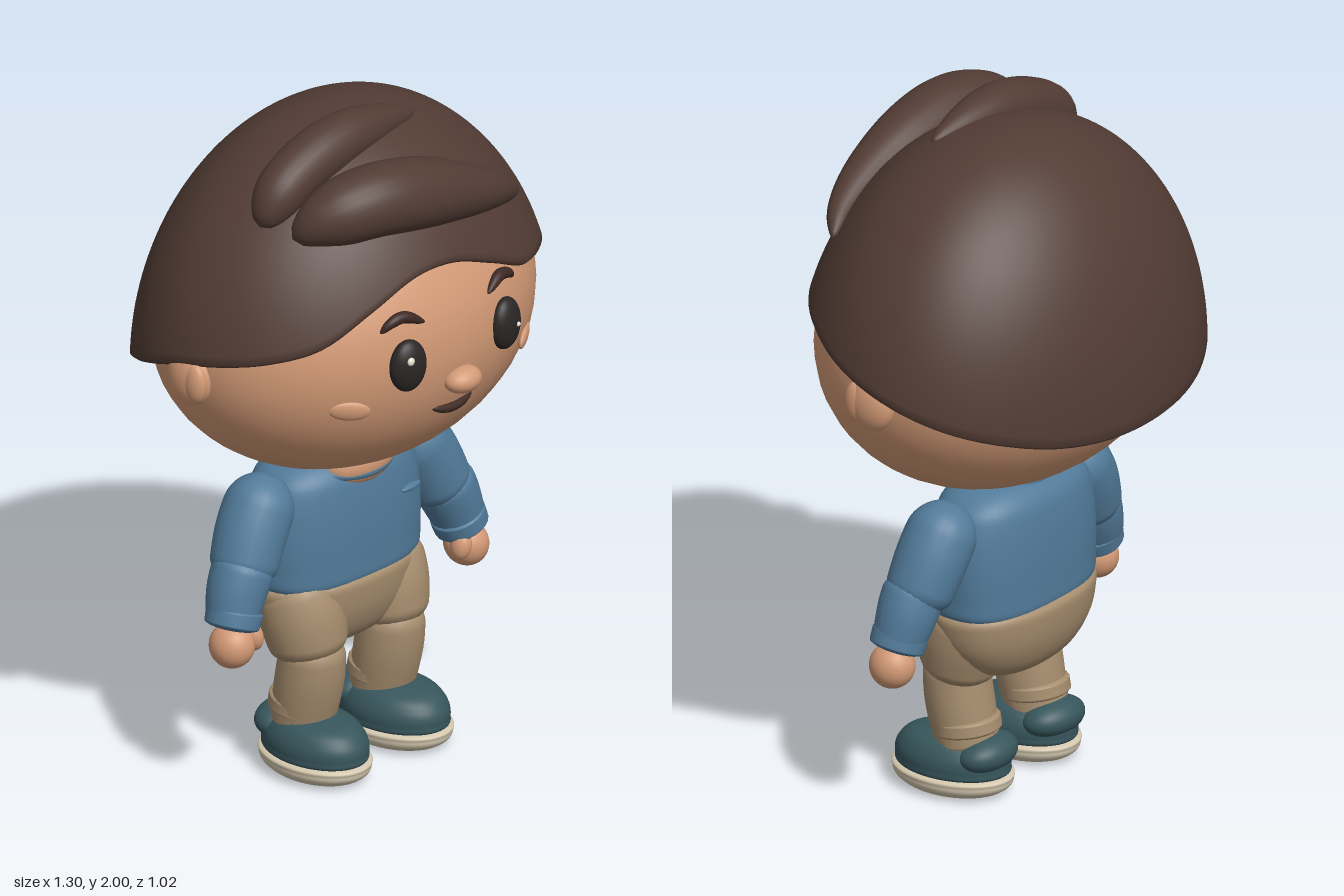
import * as THREE from 'three';
import { mergeVertices } from 'three/addons/utils/BufferGeometryUtils.js';

const V = (a) => new THREE.Vector3(...a);
const paint = (name, color) => {
  const m = new THREE.MeshStandardMaterial({ color });
  m.name = name;
  return m;
};

export function createModel() {
  const skin = paint('skin', 0xd39a76), brown = paint('hair brown', 0x523c34);
  const blue = paint('sweater blue', 0x527b9a), tan = paint('trouser tan', 0xa68d6e);
  const teal = paint('shoe teal', 0x37565c), cream = paint('sole cream', 0xd3c7ae);
  const black = paint('eye black', 0x2b2626), dark = paint('brow brown', 0x3c2823);
  const white = paint('eye glint', 0xf2ecdc);

  const model = new THREE.Group();
  model.name = 'boy';
  const body = new THREE.Group();
  body.name = 'body';
  body.position.x = -0.008;
  model.add(body);

  const add = (name, geo, mat, parent = body) => {
    const mesh = new THREE.Mesh(geo, mat);
    mesh.name = name;
    parent.add(mesh);
    return mesh;
  };
  // Smooth normals across seams
  const smooth = (geo) => {
    geo.deleteAttribute('uv');
    geo.deleteAttribute('normal');
    const g = mergeVertices(geo, 1e-5);
    g.computeVertexNormals();
    return g;
  };
  const blob = (name, mat, pos, radii, rot = [0, 0, 0], parent = body) => {
    const mesh = add(name, new THREE.SphereGeometry(1, 40, 28), mat, parent);
    mesh.position.set(...pos);
    mesh.scale.set(...radii);
    mesh.rotation.set(...rot);
    return mesh;
  };
  const spline = (vals, closed = false) =>
    new THREE.CatmullRomCurve3(vals.map((v) => V([v, 0, 0])), closed, 'catmullrom');
  // Round-ended tube whose radius follows a list along the path
  const sweep = (name, mat, path, radii, cap0 = 0.3, cap1 = cap0, parent = body) => {
    const rings = 56, sides = 24;
    const curve = new THREE.CatmullRomCurve3(path.map(V));
    const rad = spline(radii);
    const geo = new THREE.TubeGeometry(curve, rings, 1, sides);
    const pos = geo.attributes.position, p = new THREE.Vector3();
    const round = (u, c) => (u < c ? Math.sqrt(Math.max(0, 1 - (1 - u / c) ** 2)) : 1);
    for (let i = 0; i <= rings; i++) {
      const u = i / rings, c = curve.getPointAt(u);
      const r = rad.getPoint(u).x * round(u, cap0) * round(1 - u, cap1);
      for (let j = 0; j <= sides; j++) {
        const k = i * (sides + 1) + j;
        p.fromBufferAttribute(pos, k).sub(c).multiplyScalar(r).add(c);
        pos.setXYZ(k, p.x, p.y, p.z);
      }
    }
    return add(name, smooth(geo), mat, parent);
  };
  // Lathe with a squarish oval section of the given depth ratio
  const ovalLathe = (name, mat, profile, depth, power = 1, parent = body) => {
    const curve = new THREE.SplineCurve(profile.map((q) => new THREE.Vector2(...q)));
    const pts = curve.getPoints(40).map((q) => q.set(Math.max(0, q.x), q.y));
    const geo = new THREE.LatheGeometry(pts, 48);
    const pos = geo.attributes.position;
    const square = (v, r) => (r < 1e-6 ? 0 : Math.sign(v) * r * Math.abs(v / r) ** power);
    for (let i = 0; i < pos.count; i++) {
      const x = pos.getX(i), z = pos.getZ(i), r = Math.hypot(x, z);
      pos.setX(i, square(x, r));
      pos.setZ(i, square(z, r) * depth);
    }
    return add(name, smooth(geo), mat, parent);
  };

  // Head and face
  blob('head', skin, [0, 1.36, 0], [0.605, 0.45, 0.46]);
  blob('nose', skin, [0, 1.27, 0.46], [0.06, 0.038, 0.047]);
  sweep('mouth', dark, [[-0.082, 1.194, 0.416], [-0.04, 1.18, 0.422], [0, 1.176, 0.424], [0.04, 1.18, 0.422], [0.082, 1.194, 0.416]],
    [0.006, 0.012, 0.014, 0.012, 0.006], 0.15);
  for (const s of [-1, 1]) {
    const side = s > 0 ? 'left' : 'right';
    blob(side + 'Eye', black, [s * 0.193, 1.368, 0.437], [0.058, 0.077, 0.036], [0, s * 0.2, 0]);
    sweep(side + 'Brow', dark, [[s * 0.262, 1.475, 0.398], [s * 0.23, 1.5, 0.41], [s * 0.19, 1.507, 0.417], [s * 0.125, 1.478, 0.437]],
      [0.008, 0.016, 0.016, 0.006], 0.15);
    blob(side + 'Cheek', skin, [s * 0.346, 1.255, 0.361], [0.06, 0.03, 0.013], [0.2, s * 0.62, 0]);
    blob(side + 'Ear', skin, [s * 0.6, 1.325, -0.005], [0.045, 0.083, 0.075]);
    blob(side + 'InnerEar', skin, [s * 0.618, 1.325, 0.032], [0.026, 0.06, 0.038]);
  }
  blob('rightEyeGlint', white, [-0.212, 1.395, 0.468], [0.012, 0.012, 0.008]);
  blob('leftEyeGlint', white, [0.212, 1.368, 0.469], [0.007, 0.007, 0.006]);

  // Hair cap: thick shell whose rim height varies around the head, from the back through the right side
  const rim = spline([1.19, 1.195, 1.215, 1.25, 1.29, 1.335, 1.375, 1.4, 1.425, 1.465, 1.55, 1.615,
    1.62, 1.57, 1.505, 1.485, 1.465, 1.425, 1.38, 1.335, 1.29, 1.25, 1.215, 1.195], true);
  const cols = 120, outer = 40, rows = outer * 2 + 2;
  const verts = [], index = [];
  for (let i = 0; i <= rows; i++) {
    for (let j = 0; j < cols; j++) {
      const a = (j / cols) * Math.PI * 2 - Math.PI;
      const low = Math.asin((rim.getPoint(j / cols).x - 1.24) / 0.725);
      const inside = i > outer + 1;
      const t = Math.min(1, i <= outer ? i / outer : (rows - i) / outer);
      const phi = Math.PI / 2 + (low - Math.PI / 2) * t;
      const k = i <= outer ? 1 : inside ? 0.95 : 0.975;
      const r = Math.cos(phi) * k;
      const y = 1.24 + 0.725 * Math.sin(phi) - (inside ? 0.03 * (1 - t) : i > outer ? 0.012 : 0);
      verts.push(0.655 * r * Math.sin(a), y, -0.025 + (Math.cos(a) > 0 ? 0.535 : 0.487) * r * Math.cos(a));
      if (i < rows) {
        const p = i * cols + j, q = i * cols + ((j + 1) % cols);
        index.push(p, p + cols, q + cols, p, q + cols, q);
      }
    }
  }
  const cap = new THREE.BufferGeometry();
  cap.setAttribute('position', new THREE.Float32BufferAttribute(verts, 3));
  cap.setIndex(index);
  add('hairCap', smooth(cap), brown, model);

  // Swept locks on the front and crown
  sweep('frontLock', brown, [[-0.435, 1.76, 0.22], [-0.35, 1.81, 0.27], [-0.22, 1.835, 0.315], [-0.05, 1.81, 0.335], [0.15, 1.755, 0.345], [0.28, 1.71, 0.33], [0.38, 1.665, 0.29]],
    [0.07, 0.095, 0.105, 0.1, 0.078, 0.05, 0.015], 0.2, 0.08, model);
  sweep('crownLock', brown, [[-0.44, 1.76, 0.1], [-0.33, 1.86, 0.1], [-0.15, 1.922, 0.105], [0, 1.93, 0.11], [0.15, 1.92, 0.12]],
    [0.065, 0.075, 0.078, 0.06, 0.015], 0.2, 0.08, model);

  // Sweater, neck and collar
  ovalLathe('torso', blue, [[0, 0.54], [0.2, 0.545], [0.278, 0.56], [0.288, 0.62], [0.288, 0.72], [0.275, 0.82], [0.245, 0.885], [0.16, 0.925], [0, 0.935]], 0.56, 0.82)
    .position.z = -0.04;
  blob('neck', skin, [0, 0.93, 0], [0.13, 0.12, 0.11]);
  blob('chestOpening', skin, [0, 0.9, 0.06], [0.125, 0.072, 0.07]);
  const collar = add('collar', new THREE.TorusGeometry(0.15, 0.014, 14, 56), blue);
  collar.position.set(0, 0.9, -0.01);
  collar.rotation.x = Math.PI / 2 + 0.16;
  collar.scale.y = 0.86;
  blob('pocketTrim', blue, [0.155, 0.777, 0.112], [0.042, 0.01, 0.012], [0, 0.12, 0]);

  // Hips
  ovalLathe('hips', tan, [[0, 0.335], [0.12, 0.345], [0.21, 0.385], [0.265, 0.45], [0.287, 0.52], [0.28, 0.565], [0.2, 0.575], [0, 0.575]], 0.59, 0.9)
    .position.z = -0.043;

  for (const s of [-1, 1]) {
    const side = s > 0 ? 'left' : 'right';
    const m = (list) => list.map(([x, y, z]) => [s * x, y, z]);

    // Arm
    sweep(side + 'UpperSleeve', blue, m([[0.25, 0.905, -0.03], [0.335, 0.78, -0.02], [0.41, 0.625, 0]]), [0.098, 0.102, 0.092], 0.32, 0.22);
    sweep(side + 'Forearm', blue, m([[0.375, 0.72, 0], [0.425, 0.62, 0.005], [0.457, 0.535, 0.015]]), [0.088, 0.086, 0.072], 0.3, 0.05);
    sweep(side + 'Cuff', blue, m([[0.436, 0.582, 0.012], [0.462, 0.515, 0.018]]), [0.08, 0.077], 0.25);
    blob(side + 'Hand', skin, [s * 0.465, 0.475, 0.025], [0.062, 0.066, 0.066], [0, 0, s * 0.2]);
    blob(side + 'Thumb', skin, [s * 0.413, 0.493, 0.055], [0.028, 0.043, 0.032], [0, 0, s * -0.2]);

    // Leg
    sweep(side + 'Thigh', tan, m([[0.175, 0.6, -0.04], [0.165, 0.48, 0], [0.158, 0.325, 0.035]]), [0.11, 0.122, 0.102], 0.3, 0.22);
    sweep(side + 'Shin', tan, m([[0.158, 0.42, 0.04], [0.157, 0.3, 0.03], [0.157, 0.13, -0.005]]), [0.09, 0.097, 0.09], 0.25, 0.05);
    sweep(side + 'TrouserHem', tan, m([[0.157, 0.232, 0.005], [0.157, 0.165, -0.005]]), [0.096, 0.098], 0.3);

    // Shoe
    const shoe = new THREE.Group();
    shoe.name = side + 'Shoe';
    shoe.position.set(s * 0.157, 0, 0.047);
    shoe.rotation.y = s * 0.06;
    body.add(shoe);
    ovalLathe(side + 'Sole', cream, [[0, 0], [0.09, 0.003], [0.122, 0.02], [0.132, 0.043], [0.12, 0.063], [0, 0.07]], 1.38, 1, shoe);
    ovalLathe(side + 'ShoeUpper', teal, [[0, 0.055], [0.11, 0.058], [0.124, 0.085], [0.117, 0.125], [0.085, 0.16], [0, 0.178]], 1.41, 1, shoe);
    blob(side + 'HeelCounter', teal, [0, 0.125, -0.113], [0.105, 0.055, 0.075], [0.15, 0, 0], shoe);
  }
  return model;
}
